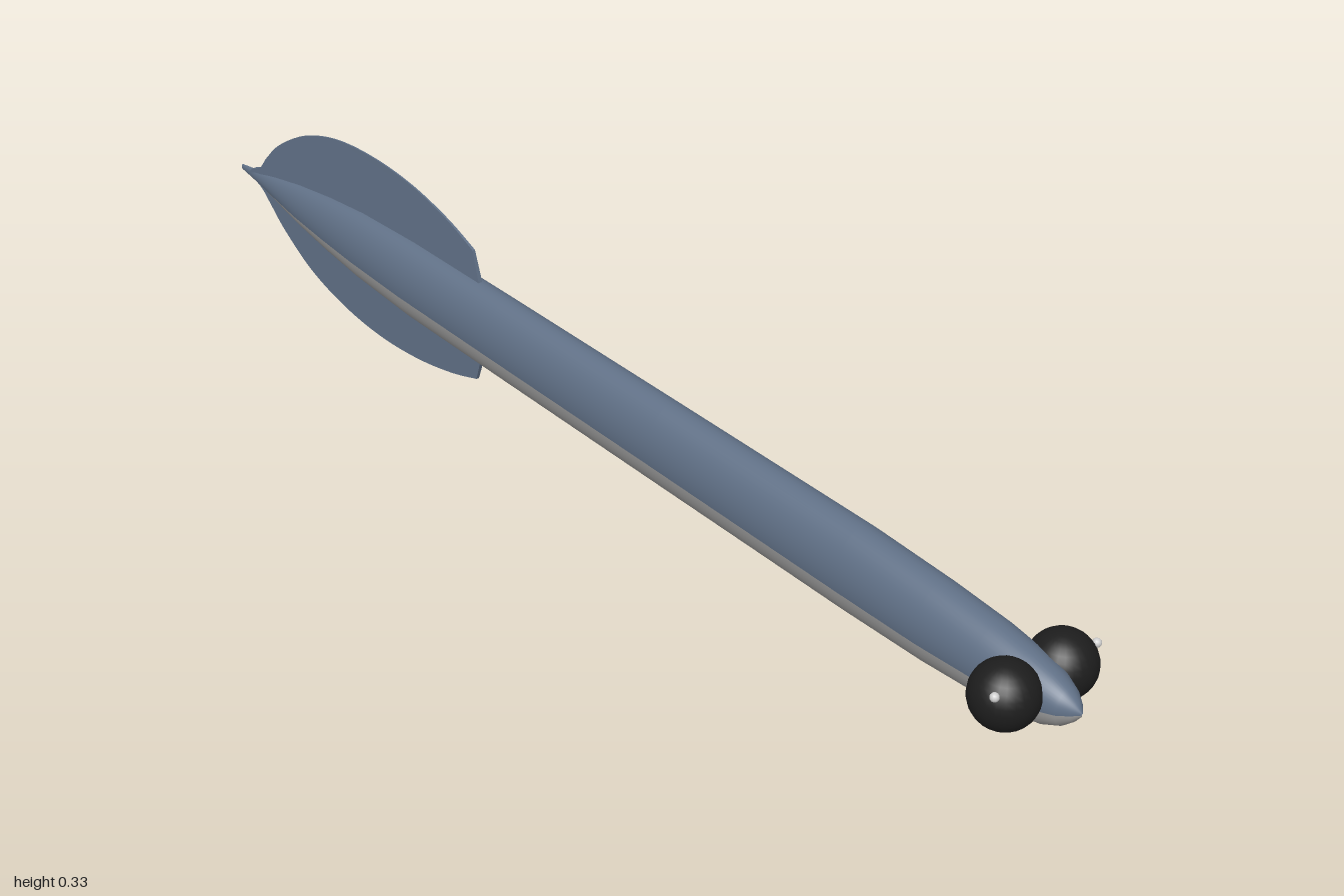
import * as THREE from 'three';

const mat = (name, color) => new THREE.MeshStandardMaterial({ name, color });

// Body stations: z, half width, top y, bottom y, seam height (sine of the ring angle)
const stations = [
  [1.0, 0.001, 0.159, 0.155, -0.1],
  [0.99, 0.012, 0.171, 0.141, -0.1],
  [0.975, 0.023, 0.182, 0.127, -0.1],
  [0.95, 0.033, 0.193, 0.115, -0.12],
  [0.91, 0.039, 0.203, 0.106, -0.15],
  [0.85, 0.043, 0.212, 0.1, -0.2],
  [0.75, 0.045, 0.22, 0.093, -0.25],
  [0.6, 0.045, 0.227, 0.089, -0.27],
  [0.2, 0.043, 0.228, 0.088, -0.27],
  [-0.2, 0.042, 0.228, 0.088, -0.27],
  [-0.45, 0.041, 0.227, 0.089, -0.27],
  [-0.6, 0.036, 0.221, 0.096, -0.3],
  [-0.7, 0.03, 0.211, 0.106, -0.34],
  [-0.8, 0.022, 0.197, 0.119, -0.42],
  [-0.88, 0.014, 0.182, 0.134, -0.55],
  [-0.93, 0.008, 0.171, 0.143, -0.75],
  [-1.0, 0.002, 0.161, 0.151, -0.9],
];

// Loft of elliptical rings; group 0 is the back and flanks, group 1 the belly
function bodyGeometry(upper = 24, lower = 16) {
  const n = upper + lower, pos = [], groups = [[], []];
  for (const [z, w, top, bottom, s] of stations) {
    const seam = Math.asin(s), arc = Math.PI - 2 * seam;
    for (let j = 0; j < n; j++) {
      const a = j < upper
        ? seam + arc * j / upper
        : seam + arc + (2 * Math.PI - arc) * (j - upper) / lower;
      pos.push(w * Math.cos(a), (top + bottom) / 2 + (top - bottom) / 2 * Math.sin(a), z);
    }
  }
  for (let i = 0; i < stations.length - 1; i++) {
    for (let j = 0; j < n; j++) {
      const a = i * n + j, b = i * n + (j + 1) % n, c = a + n, d = b + n;
      groups[j < upper ? 0 : 1].push(a, c, b, b, c, d);
    }
  }
  const geo = new THREE.BufferGeometry();
  geo.setAttribute('position', new THREE.Float32BufferAttribute(pos, 3));
  geo.setIndex([...groups[0], ...groups[1]]);
  geo.addGroup(0, groups[0].length, 0);
  geo.addGroup(groups[0].length, groups[1].length, 1);
  geo.computeVertexNormals();
  return geo;
}

// Leaf-shaped fin from [z, y] outline points, thinning away from the body
function finGeometry(points) {
  const [start, ...edge] = points.map(([z, y]) => new THREE.Vector2(-z, y));
  const shape = new THREE.Shape();
  shape.moveTo(-points[0][0] + 0.02, 0.158);
  shape.lineTo(start.x, start.y);
  shape.lineTo(edge[0].x, edge[0].y);
  shape.splineThru(edge.slice(1));
  shape.lineTo(0.97, 0.158);
  const geo = new THREE.ExtrudeGeometry(shape, { depth: 0.01, bevelEnabled: false, curveSegments: 24 });
  geo.translate(0, 0, -0.005).rotateY(Math.PI / 2);
  const p = geo.attributes.position;
  for (let i = 0; i < p.count; i++) {
    p.setX(i, p.getX(i) * (1 - 0.75 * Math.min(1, Math.abs(p.getY(i) - 0.158) / 0.17)));
  }
  geo.computeVertexNormals();
  return geo;
}

export function createModel() {
  const model = new THREE.Group();
  const blue = mat('slate blue', 0x607086);
  const grey = mat('belly grey', 0x9a9a9a);
  const black = mat('eye black', 0x1d1d1d);
  const shine = mat('eye shine', 0xd0d0d0);

  const add = (name, geo, material, x = 0, y = 0, z = 0) => {
    const mesh = new THREE.Mesh(geo, material);
    mesh.name = name;
    mesh.position.set(x, y, z);
    model.add(mesh);
  };

  add('body', bodyGeometry(), [blue, grey]);

  // Upper and lower tail fins
  add('upperFin', finGeometry([
    [-0.27, 0.225], [-0.287, 0.278], [-0.36, 0.305], [-0.46, 0.327], [-0.57, 0.334],
    [-0.68, 0.325], [-0.78, 0.295], [-0.86, 0.25], [-0.905, 0.21], [-0.93, 0.182], [-0.96, 0.168],
  ]), blue);
  add('lowerFin', finGeometry([
    [-0.27, 0.09], [-0.285, 0.047], [-0.36, 0.025], [-0.46, 0.007], [-0.57, 0.001],
    [-0.68, 0.012], [-0.78, 0.04], [-0.86, 0.085], [-0.905, 0.122], [-0.93, 0.142], [-0.96, 0.152],
  ]), blue);

  // Bulging eyes with a small bright bead on each
  const eye = new THREE.SphereGeometry(0.048, 24, 16);
  const bead = new THREE.SphereGeometry(0.0065, 12, 8);
  for (const [side, s] of [['left', 1], ['right', -1]]) {
    add(side + 'Eye', eye, black, s * 0.052, 0.164, 0.917);
    add(side + 'EyeShine', bead, shine, s * 0.092, 0.189, 0.936);
  }
  return model;
}
